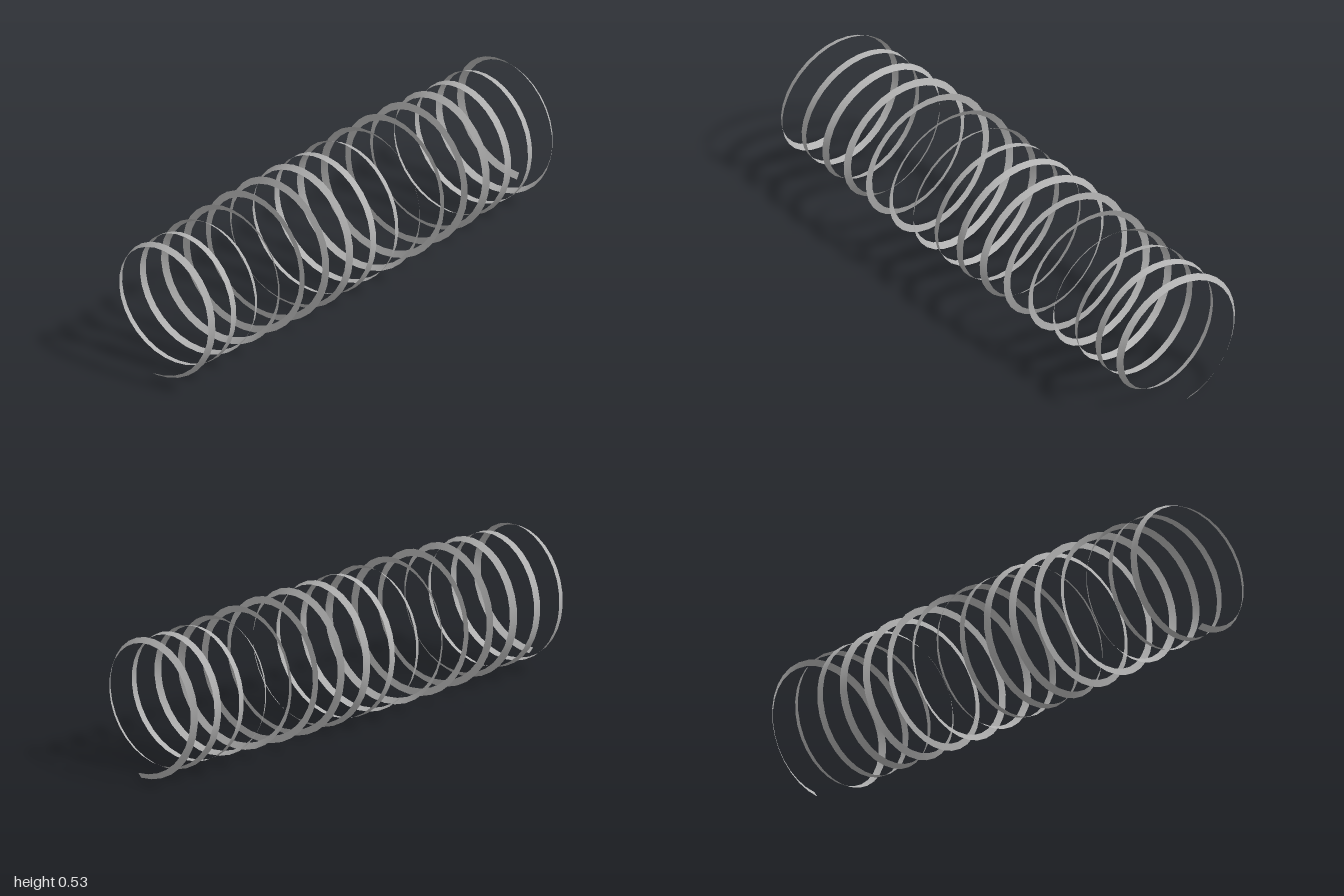
import * as THREE from 'three';

const TURNS = 16;
const STEPS_PER_TURN = 32;
const RADIUS = 0.25;        // coil radius
const CENTRE_Y = 0.265;     // height of the coil axis
const X_START = -0.995;
const X_END = 0.999;
const HALF_WIDTH = 0.0132;  // half the strip's width
const OFFSET = 0.0076;      // strip's distance from the guiding helix
const RADIAL_TURN = 10.84;  // turn at which the strip lies flat across the axis

export function createModel() {
  const steel = new THREE.MeshStandardMaterial({ color: 0xb2b2b2, side: THREE.DoubleSide });
  steel.name = 'grey steel';

  const c = (X_END - X_START) / (TURNS * Math.PI * 2);
  const len = Math.hypot(RADIUS, c);
  const steps = TURNS * STEPS_PER_TURN;
  const positions = [];
  const indices = [];

  // A flat strip swept along the helix, twisting slowly as it goes
  for (let i = 0; i <= steps; i++) {
    const t = (i / STEPS_PER_TURN) * Math.PI * 2;
    const sin = Math.sin(t), cos = Math.cos(t);
    const point = new THREE.Vector3(X_START + c * t, CENTRE_Y - RADIUS * cos, RADIUS * sin);
    const inward = new THREE.Vector3(0, cos, -sin);
    const binormal = new THREE.Vector3(-RADIUS, c * sin, c * cos).divideScalar(len);
    const twist = (c / len) * (t - RADIAL_TURN * Math.PI * 2);
    const across = inward.clone().multiplyScalar(Math.cos(twist)).addScaledVector(binormal, Math.sin(twist));
    const out = inward.clone().multiplyScalar(Math.sin(twist)).addScaledVector(binormal, -Math.cos(twist));
    point.addScaledVector(out, OFFSET);
    for (const side of [-1, 1]) {
      positions.push(...point.clone().addScaledVector(across, side * HALF_WIDTH).toArray());
    }
    if (i < steps) {
      const a = i * 2;
      indices.push(a, a + 1, a + 2, a + 1, a + 3, a + 2);
    }
  }

  const geometry = new THREE.BufferGeometry();
  geometry.setAttribute('position', new THREE.Float32BufferAttribute(positions, 3));
  geometry.setIndex(indices);
  geometry.computeVertexNormals();

  const coil = new THREE.Mesh(geometry, steel);
  coil.name = 'springCoil';
  const group = new THREE.Group();
  group.name = 'spring';
  group.add(coil);
  return group;
}
